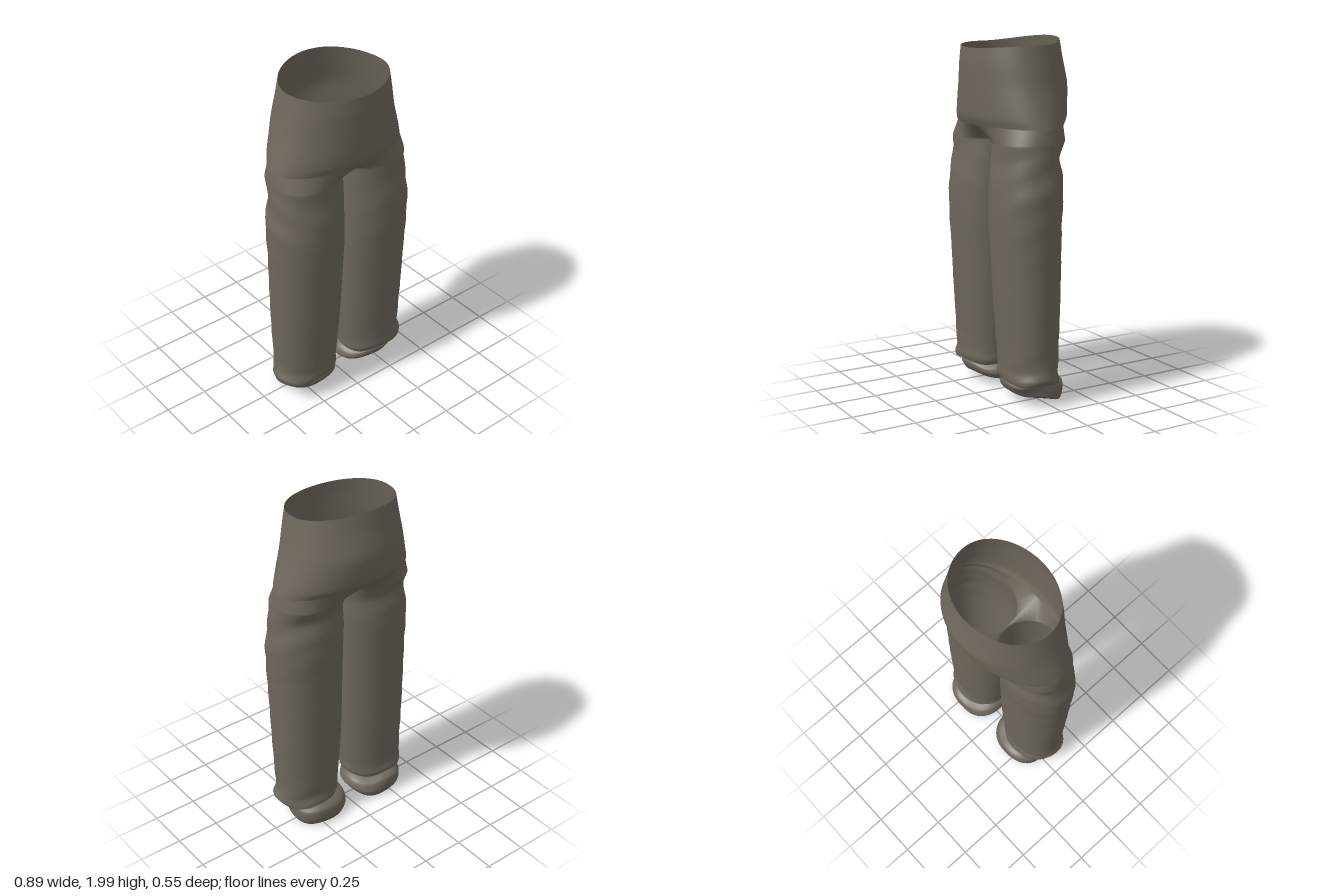
import * as THREE from 'three';
import { mergeVertices } from 'three/addons/utils/BufferGeometryUtils.js';

const OUT = 36, IN = 12, AROUND = OUT + IN;

// Torso sections, waist to hip: half width, front z, back z, side y, front y, back y
const TORSO = [
  [0.31, 0.27, -0.232, 1.962, 1.945, 2.0],
  [0.328, 0.276, -0.25, 1.865, 1.86, 1.89],
  [0.35, 0.275, -0.275, 1.75, 1.75, 1.765],
  [0.378, 0.273, -0.262, 1.65, 1.65, 1.665],
  [0.401, 0.268, -0.245, 1.57, 1.575, 1.595],
  [0.414, 0.25, -0.205, 1.525, 1.53, 1.55],
];

// Leg sections, thigh to hem: inner x, outer x, front z, back z, front y, back y, wrinkle depth
const LEG = [
  [0.004, 0.424, 0.222, -0.15, 1.45, 1.465, 0.001],
  [0.004, 0.425, 0.222, -0.112, 1.37, 1.38, 0.003],
  [0.004, 0.434, 0.234, -0.128, 1.27, 1.28, 0.003],
  [0.005, 0.446, 0.243, -0.129, 1.17, 1.17, 0.003],
  [0.007, 0.442, 0.244, -0.122, 1.0, 1.0, 0.002],
  [0.012, 0.438, 0.232, -0.12, 0.8, 0.8, 0.001],
  [0.02, 0.434, 0.219, -0.115, 0.55, 0.55, 0.001],
  [0.036, 0.427, 0.204, -0.105, 0.32, 0.31, 0.002],
  [0.045, 0.426, 0.2, -0.1, 0.22, 0.2, 0.004],
  [0.045, 0.438, 0.205, -0.106, 0.175, 0.155, 0.006],
  [0.056, 0.43, 0.197, -0.105, 0.145, 0.135, 0.006],
  [0.07, 0.385, 0.172, -0.115, 0.14, 0.135, 0.006],
  [0.04, 0.385, 0.18, -0.148, 0.122, 0.112, 0.008],
  [0.025, 0.38, 0.172, -0.156, 0.098, 0.06, 0.006],
  [0.05, 0.37, 0.155, -0.14, 0.075, 0.016, 0.005],
  [0.075, 0.315, 0.135, -0.105, 0.085, 0.02, 0.003],
];

// Smoothly subdivide a table of sections
function refine(rows, n) {
  const out = [];
  for (let r = 0; r < rows.length - 1; r++) {
    const p = [rows[Math.max(r - 1, 0)], rows[r], rows[r + 1], rows[Math.min(r + 2, rows.length - 1)]];
    for (let k = 0; k < n; k++) {
      const t = k / n;
      out.push(rows[r].map((_, c) => {
        const m0 = (p[2][c] - p[0][c]) * 0.35, m1 = (p[3][c] - p[1][c]) * 0.35;
        const t2 = t * t, t3 = t2 * t;
        return (2 * t3 - 3 * t2 + 1) * p[1][c] + (t3 - 2 * t2 + t) * m0
          + (3 * t2 - 2 * t3) * p[2][c] + (t3 - t2) * m1;
      }));
    }
  }
  out.push(rows[rows.length - 1]);
  return out;
}

// Half section of the torso, from back centre round the side to front centre
function torsoRing([rx, zf, zb, ys, yf, yb]) {
  const ring = [], zc = 0.03;
  for (let i = 0; i <= OUT; i++) {
    const a = (i / OUT - 0.5) * Math.PI, s = Math.sin(a);
    const x = i === 0 || i === OUT ? 0 : rx * Math.cos(a);
    const z = zc + Math.abs(s) * ((s > 0 ? zf : zb) - zc) * Math.sign(s);
    ring.push([x, ys + ((s > 0 ? yf : yb) - ys) * s * s, s > 0 ? z : zc + (zb - zc) * -s]);
  }
  return ring;
}

// Closed section of one leg, in the same order, then back along the inside
function legRing([xi, xo, zf, zb, yf, yb, w]) {
  const ring = [];
  for (let i = 0; i < AROUND; i++) {
    const a = (i / AROUND) * Math.PI * 2 - Math.PI * 0.75;
    const c = Math.cos(a), s = Math.sin(a);
    const q = (v) => Math.sign(v) * Math.pow(Math.abs(v), 0.93);
    const fold = w * Math.sin(3 * a + yf * 38) * (0.5 + 0.5 * c);
    const sag = w * Math.sin(4 * a + 1);
    ring.push([
      (xi + xo) / 2 + ((xo - xi) / 2) * q(c) + fold * c,
      (yf + yb) / 2 + ((yf - yb) / 2) * s + sag,
      (zf + zb) / 2 + ((zf - zb) / 2) * q(s) + fold * s,
    ]);
  }
  return ring;
}

// Hip section closed by the crotch seam, which arches under the body
function crotchRing(hip) {
  const ring = [...hip], front = hip[OUT], back = hip[0];
  for (let j = 1; j < IN; j++) {
    const t = j / IN, end = front[1] + (back[1] - front[1]) * t;
    const dip = 1 - (2 * t - 1) ** 2;
    ring.push([0, end + (1.48 - end) * dip, front[2] + (back[2] - front[2]) * t]);
  }
  return ring;
}

export function createModel() {
  const cloth = new THREE.MeshStandardMaterial({ color: 0x6e675d, side: THREE.DoubleSide });
  cloth.name = 'greyBrownCloth';
  const pos = [], index = [];

  // Skin a stack of sections, mirrored when side is -1
  function skin(rings, closed, side) {
    const base = pos.length / 3, n = rings[0].length;
    rings.forEach((ring) => ring.forEach(([x, y, z]) => pos.push(x * side, y, z)));
    for (let r = 0; r < rings.length - 1; r++) {
      for (let i = 0; i < (closed ? n : n - 1); i++) {
        const a = base + r * n + i, b = base + r * n + ((i + 1) % n);
        const c = a + n, d = b + n;
        if (side > 0) index.push(a, b, c, b, d, c);
        else index.push(a, c, b, b, c, d);
      }
    }
  }

  const torso = refine(TORSO, 4).map(torsoRing);
  const leg = [crotchRing(torso[torso.length - 1]), ...refine(LEG, 4).map(legRing)];
  const parts = [];
  const part = (name, build) => {
    const start = index.length;
    build();
    parts.push([name, start, index.length]);
  };
  part('waistAndHips', () => [1, -1].forEach((s) => skin(torso, false, s)));
  part('leftLeg', () => skin(leg, true, 1));
  part('rightLeg', () => skin(leg, true, -1));

  // Weld everything so shading runs smoothly across the joins
  let whole = new THREE.BufferGeometry();
  whole.setAttribute('position', new THREE.Float32BufferAttribute(pos, 3));
  whole.setIndex(index);
  whole = mergeVertices(whole, 1e-4);
  whole.computeVertexNormals();

  const group = new THREE.Group();
  group.name = 'trousers';
  const welded = Array.from(whole.index.array);
  for (const [name, start, end] of parts) {
    const geo = new THREE.BufferGeometry();
    geo.setAttribute('position', whole.attributes.position);
    geo.setAttribute('normal', whole.attributes.normal);
    geo.setIndex(welded.slice(start, end));
    const mesh = new THREE.Mesh(geo, cloth);
    mesh.name = name;
    group.add(mesh);
  }
  return group;
}
